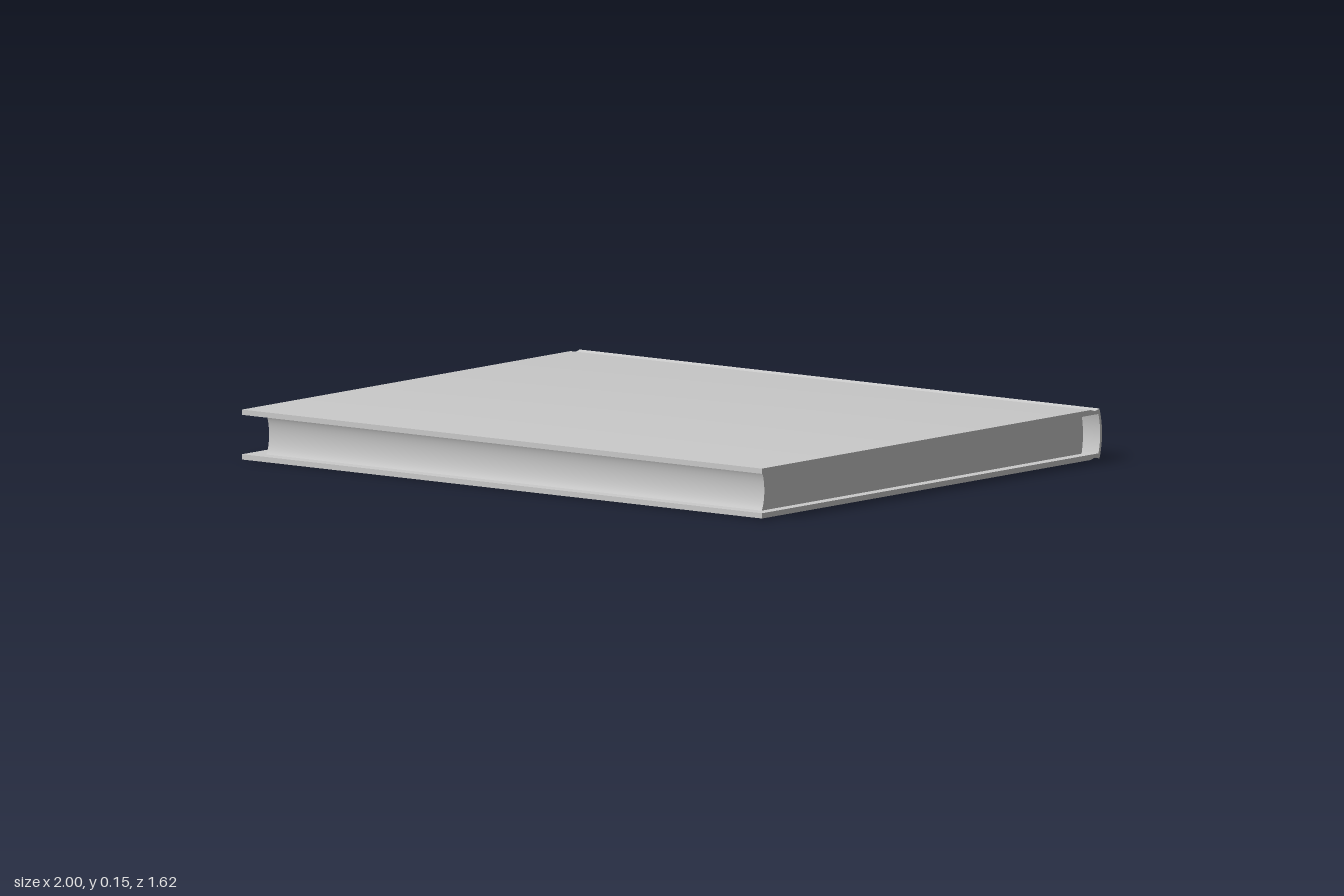
import * as THREE from 'three';
import { toCreasedNormals } from 'three/addons/utils/BufferGeometryUtils.js';

const H = 0.151;      // closed thickness
const BOARD = 0.016;  // cover board thickness

// Extrudes a (-z, y) profile along x between x0 and x1
function slab(name, shape, x0, x1) {
  let geo = new THREE.ExtrudeGeometry(shape, { depth: x1 - x0, bevelEnabled: false, curveSegments: 12 });
  geo.rotateY(Math.PI / 2);
  geo.translate(x0, 0, 0);
  geo = toCreasedNormals(geo, 0.5);
  const mesh = new THREE.Mesh(geo, new THREE.MeshStandardMaterial({ color: 0xcccccc }));
  mesh.name = name;
  return mesh;
}

// One continuous cover: back board, hinge groove, rounded spine, hinge groove, front board
function coverShape() {
  const s = new THREE.Shape();
  const dip = 0.005;
  s.moveTo(-0.81, 0);
  s.lineTo(0.75, 0);
  s.quadraticCurveTo(0.762, 0, 0.772, dip);
  s.quadraticCurveTo(0.784, dip, 0.798, 0);
  s.quadraticCurveTo(0.823, H / 2, 0.798, H);
  s.quadraticCurveTo(0.784, H - dip, 0.772, H - dip);
  s.quadraticCurveTo(0.762, H, 0.75, H);
  s.lineTo(-0.81, H);
  s.lineTo(-0.81, H - BOARD);
  s.lineTo(0.793, H - BOARD);
  s.quadraticCurveTo(0.81, H / 2, 0.793, BOARD);
  s.lineTo(-0.81, BOARD);
  s.closePath();
  return s;
}

// Page block: hollow fore-edge, slightly rounded back
function pageShape() {
  const s = new THREE.Shape();
  const lo = BOARD, hi = H - BOARD;
  s.moveTo(-0.768, lo);
  s.lineTo(0.756, lo);
  s.quadraticCurveTo(0.77, H / 2, 0.756, hi);
  s.lineTo(-0.768, hi);
  s.bezierCurveTo(-0.751, hi - 0.025, -0.751, lo + 0.025, -0.768, lo);
  return s;
}

export function createModel() {
  const book = new THREE.Group();
  book.name = 'book';
  book.add(slab('cover', coverShape(), -1, 1));
  book.add(slab('pageBlock', pageShape(), -0.94, 0.965));
  // The closed book lies very slightly tilted
  book.rotation.z = 0.002;
  book.position.y = 0.002;
  const model = new THREE.Group();
  model.add(book);
  return model;
}
